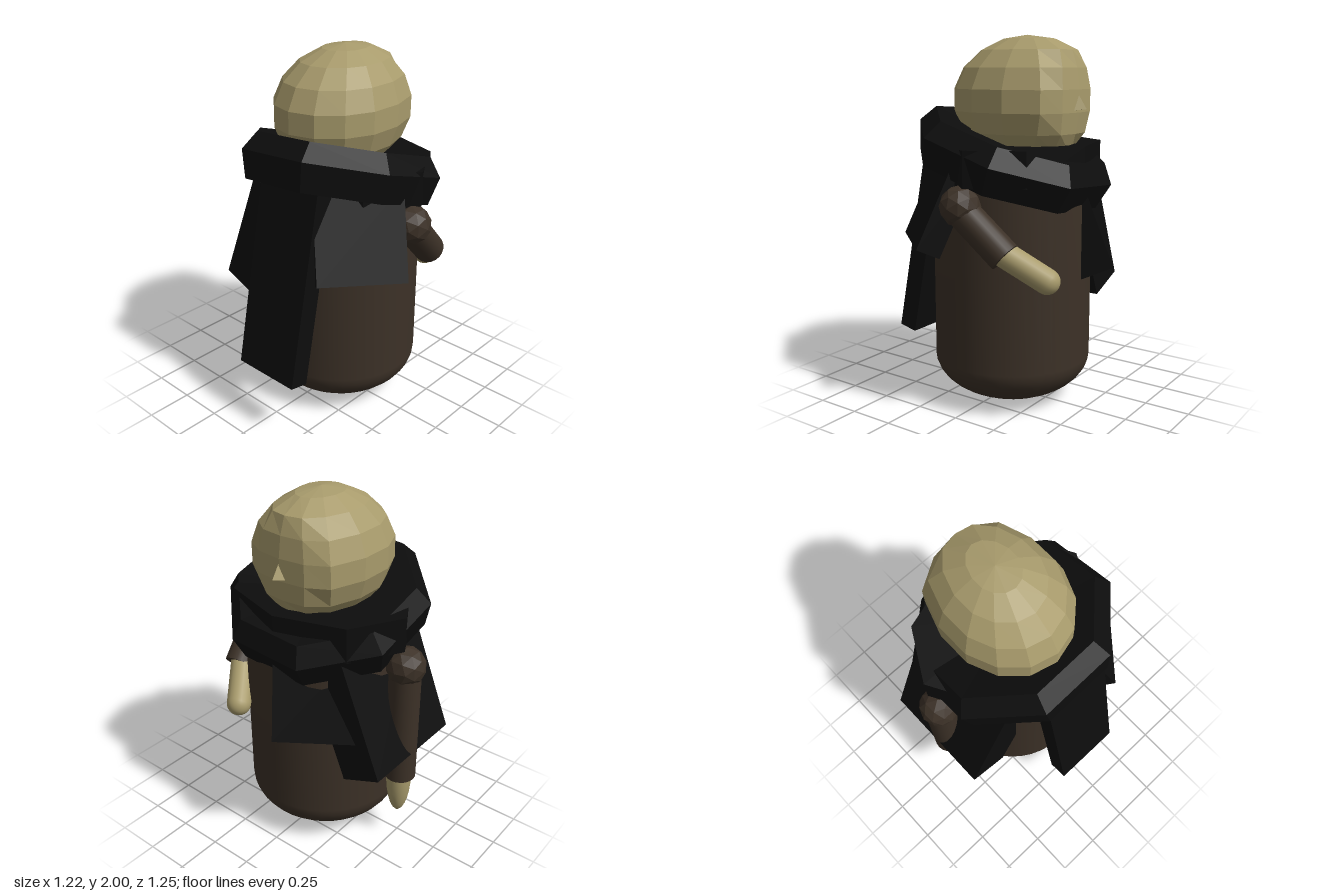
import * as THREE from 'three';

const mat = (name, color, opts = {}) => {
  const m = new THREE.MeshStandardMaterial({ color, ...opts });
  m.name = name;
  return m;
};

export function createModel() {
  const model = new THREE.Group();
  const skin = mat('tan skin', 0xa89b6c);
  const brown = mat('dark brown robe', 0x3c3127);
  const black = mat('black cloth', 0x0d0d0d);

  // Flat-faced parts get split vertices so no extra material is needed
  const faceted = (geo) => {
    const g = geo.index ? geo.toNonIndexed() : geo;
    g.computeVertexNormals();
    return g;
  };
  const add = (name, geo, material, pos = [0, 0, 0]) => {
    const mesh = new THREE.Mesh(geo, material);
    mesh.name = name;
    mesh.position.set(...pos);
    model.add(mesh);
    return mesh;
  };
  const v2 = (x, y) => new THREE.Vector2(x, y);

  // Body: upright barrel with rounded ends
  const profile = [];
  for (let i = 0; i <= 10; i++) {
    const a = (i / 10) * Math.PI / 2;
    profile.push(v2(0.435 * Math.sin(a), 0.25 - 0.25 * Math.cos(a)));
  }
  for (let i = 0; i <= 8; i++) {
    const a = (i / 8) * Math.PI / 2;
    profile.push(v2(0.435 * Math.cos(a), 1.2 + 0.21 * Math.sin(a)));
  }
  add('body', new THREE.LatheGeometry(profile, 40), brown, [0.03, 0, 0.01]);

  // Head: faceted ellipsoid with a flattened face toward +x
  const headGeo = new THREE.SphereGeometry(1, 14, 9);
  const p = headGeo.attributes.position;
  for (let i = 0; i < p.count; i++) {
    const nx = p.getX(i), ny = p.getY(i), nz = p.getZ(i);
    let x = 0.05 + nx * (nx > 0 ? 0.48 : 0.38) + 0.05 * Math.max(ny, 0) ** 2;
    if (x > 0.37) x = 0.37 + (x - 0.37) * 0.35;
    p.setXYZ(i, x, 1.66 + 0.34 * ny, -0.025 + 0.33 * nz);
  }
  add('head', faceted(headGeo), skin);

  // Nose: small three-sided wedge
  const noseGeo = new THREE.BufferGeometry();
  const top = [0.39, 1.74, -0.02], tip = [0.47, 1.62, -0.02];
  const l = [0.39, 1.61, -0.08], r = [0.39, 1.61, 0.04];
  noseGeo.setAttribute('position', new THREE.Float32BufferAttribute(
    [top, r, tip, top, tip, l, tip, r, l].flat(), 3));
  add('nose', faceted(noseGeo), skin);

  // Collar: flat octagonal yoke under the scarf
  const collar = add('collar', faceted(new THREE.CylinderGeometry(0.53, 0.53, 0.19, 8)),
    black, [0.08, 1.335, -0.01]);
  collar.scale.x = 0.74;

  // Scarf: chunky octagonal ring, low at the face side and high behind
  const ring = [[0.3, -0.12], [0.52, -0.13], [0.56, 0.02], [0.49, 0.12], [0.3, 0.1], [0.3, -0.12]];
  const scarfGeo = new THREE.LatheGeometry(ring.map((q) => v2(...q)), 8);
  scarfGeo.rotateY(Math.PI / 8);
  const scarf = add('scarf', faceted(scarfGeo), black, [0.025, 1.36, 0]);
  scarf.rotation.set(-0.07, 0, -0.3);

  // Cloth slabs: placed by the middle of the outer bottom edge, leaning inward
  const slab = (name, pos, azimuth, tilt, w, t, len) => {
    const geo = new THREE.BoxGeometry(w, len, t).translate(0, len / 2, -t / 2);
    const mesh = add(name, geo, black, pos);
    mesh.rotation.order = 'YXZ';
    mesh.rotation.set(-tilt, azimuth, 0);
  };
  slab('backCape', [-0.61, 0.335, 0.045], -Math.PI / 2, 0.2, 0.4, 0.11, 1.15);
  slab('sideCape', [0.03, 0.62, -0.6], Math.PI, 0.385, 0.66, 0.238, 0.72);
  slab('chestFlap', [0.483, 0.785, -0.275], Math.atan2(0.82, -0.57), 0.36, 0.43, 0.18, 0.5);
  slab('shoulderFlap', [-0.315, 0.92, 0.472], Math.atan2(-0.657, 0.754), 0.42, 0.464, 0.13, 0.5);

  // Arms
  const limb = (name, from, to, radius, material, round) => {
    const a = new THREE.Vector3(...from), b = new THREE.Vector3(...to);
    const len = a.distanceTo(b);
    const geo = round ? new THREE.CapsuleGeometry(radius, len, 8, 20)
      : new THREE.CylinderGeometry(radius, radius, len, 20);
    const mesh = add(name, geo, material, a.clone().add(b).multiplyScalar(0.5).toArray());
    mesh.quaternion.setFromUnitVectors(new THREE.Vector3(0, 1, 0), b.sub(a).normalize());
  };
  const shoulder = (name, pos) =>
    add(name, faceted(new THREE.IcosahedronGeometry(0.108, 1)), brown, pos);

  shoulder('rightShoulder', [0.04, 1.145, 0.49]);
  limb('rightSleeve', [0.04, 1.13, 0.49], [0.28, 0.905, 0.44], 0.085, brown, false);
  limb('rightHand', [0.25, 0.93, 0.44], [0.44, 0.775, 0.3], 0.068, skin, true);

  shoulder('leftShoulder', [0.03, 1.13, -0.52]);
  limb('leftSleeve', [0.03, 1.13, -0.518], [0.03, 0.435, -0.518], 0.086, brown, false);
  const hand = add('leftHand', new THREE.SphereGeometry(1, 20, 14), skin, [0.03, 0.43, -0.512]);
  hand.scale.set(0.07, 0.25, 0.07);

  return model;
}
